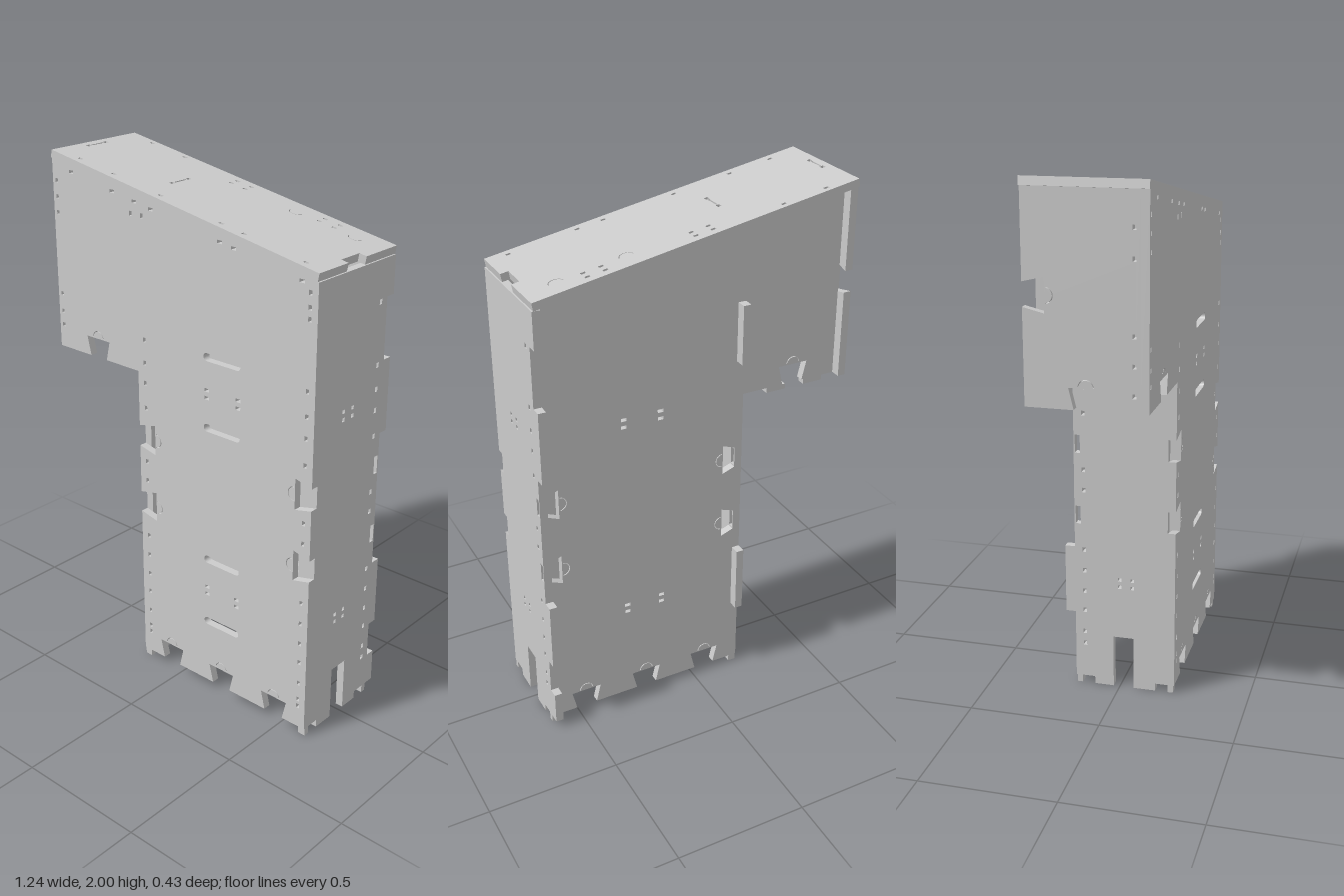
import * as THREE from 'three';

const T = 0.03; // sheet thickness
const mat = new THREE.MeshStandardMaterial({ color: 0xcccccc, flatShading: true, side: THREE.DoubleSide });
const topY = (x) => 2 - (x + 0.62) * 0.178;

const path = (pts) => new THREE.Path(pts.map(([x, y]) => new THREE.Vector2(x, y)));
const rect = (x, y, w, h) =>
  path([[x - w / 2, y - h / 2], [x - w / 2, y + h / 2], [x + w / 2, y + h / 2], [x + w / 2, y - h / 2]]);

// Rounded slot
function pill(x, y, w, h) {
  const p = new THREE.Path(), r = h / 2, s = w / 2 - r;
  p.absarc(x + s, y, r, -Math.PI / 2, Math.PI / 2);
  p.absarc(x - s, y, r, Math.PI / 2, Math.PI * 1.5);
  p.closePath();
  return p;
}

// Thin half-round relief cut beside a dovetail; dir is the angle it bulges towards
function arcCut(x, y, dir) {
  const p = new THREE.Path(), a = dir - 1.5, b = dir + 1.5;
  p.absarc(x, y, 0.028, a, b, false);
  p.absarc(x, y, 0.025, b, a, true);
  p.closePath();
  return p;
}

// Dovetail notch corners, entering the edge at (x, y) in direction (dx, dy)
function dovetail(x, y, dx, dy, depth = 0.075) {
  const at = (d, s) => [x + dx * d - dy * s, y + dy * d + dx * s];
  return [at(0, 0.042), at(depth, 0.06), at(depth, -0.06), at(0, -0.042)];
}

// Flat sheet cut from an outline with holes
function plate(name, outline, holes, depth = T) {
  const shape = new THREE.Shape(outline.map(([x, y]) => new THREE.Vector2(x, y)));
  shape.holes = holes;
  const geo = new THREE.ExtrudeGeometry(shape, { depth, bevelEnabled: false, curveSegments: 8 });
  const mesh = new THREE.Mesh(geo, mat);
  mesh.name = name;
  return mesh;
}

// Upright sheet facing sideways, drawn in (z, y), with its +x face at x
function sidePlate(name, x, outline, holes) {
  const mesh = plate(name, outline, holes);
  mesh.rotation.y = -Math.PI / 2;
  mesh.position.x = x;
  return mesh;
}

const boltRows = [0.22, 0.31, 0.39, 0.475, 0.56, 0.8, 0.88, 1.1, 1.2, 1.28, 1.37];

// L-shaped face between x0 and x1, with dovetails along its lower and side edges
function facePlate(name, x0, x1, front) {
  const low = front ? 1.24 : 1.22, stemX = front ? -0.2 : -0.17;
  const pts = [[x0, topY(x0) - T], [x0, 1.24]];
  if (front) pts.push(...dovetail(-0.41, 1.24, 0, 1));
  else pts.push([-0.54, 1.24], [-0.54, low], [-0.46, low], [-0.46, 1.24],
    ...dovetail(-0.41, 1.24, 0, 1), [-0.38, 1.24], [-0.38, low], [-0.3, low], [-0.3, 1.24]);
  pts.push([stemX, 1.24]);
  const sideDepth = front ? 0.08 : 0.05;
  for (const y of [0.98, 0.7]) pts.push(...dovetail(stemX, y, 1, 0, sideDepth));
  pts.push([stemX, 0.03]);
  for (const x of [-0.05, 0.21, 0.47]) pts.push(...dovetail(x, 0.03, 0, 1));
  pts.push([x1, 0.03]);
  for (const y of [0.7, 0.98]) pts.push(...dovetail(x1, y, -1, 0, x1 - 0.545));
  pts.push([x1, topY(x1) - T]);

  const holes = [];
  for (const x of [-0.05, 0.21, 0.47]) holes.push(arcCut(x, 0.108, Math.PI / 2));
  holes.push(arcCut(-0.41, 1.318, Math.PI / 2));
  for (const y of [0.7, 0.98]) holes.push(arcCut(-0.117, y, 0), arcCut(0.542, y, Math.PI));
  for (const x of [0.14, 0.285]) for (const y of [0.42, 0.45, 1.225, 1.255]) holes.push(rect(x, y, 0.022, 0.013));
  if (front) {
    for (const y of [0.3, 0.57, 1.11, 1.38]) holes.push(pill(0.21, y, 0.17, 0.03));
    for (const x of [-0.165, 0.585]) for (const y of [0.12, 0.15, ...boltRows]) holes.push(rect(x, y, 0.013, 0.018));
    for (const y of [1.62, 1.66, 1.71]) holes.push(rect(0.585, y, 0.013, 0.018));
    for (const y of [1.33, 1.385, 1.455, 1.77, 1.83, 1.89]) holes.push(rect(-0.6, y, 0.013, 0.015));
    for (const x of [-0.22, -0.165]) holes.push(rect(x, 1.83, 0.013, 0.018));
    for (const x of [-0.52, -0.31, -0.2, -0.12, 0.2, 0.26, 0.55]) holes.push(rect(x, topY(x) - 0.05, 0.022, 0.012));
  }
  return plate(name, pts, holes);
}

// Stem side wall: locating tabs on the back edge, feet and a cable slot below
function stemWall(name, x, height, tabs, withBackBolts) {
  const f = 0.185, b = -0.175, tab = -0.213;
  const pts = [[f, height], [f, 0.03], [0.14, 0.03], [0.14, 0], [0.055, 0], [0.055, 0.21],
    [-0.025, 0.21], [-0.025, 0], [-0.1, 0], [-0.1, 0.03], [b, 0.03]];
  for (const [y0, y1] of tabs) pts.push([b, y0], [tab, y0], [tab, y1], [b, y1]);
  pts.push([b, height]);
  const holes = [];
  for (const z of [0, 0.05]) for (const y of [0.42, 0.45, 1.225, 1.255]) holes.push(rect(z, y, 0.014, 0.014));
  if (withBackBolts) for (const y of [0.17, ...boltRows, 1.6]) holes.push(rect(-0.138, y, 0.014, 0.018));
  for (const y of [0.7, 0.98]) holes.push(rect(-0.16, y, 0.02, 0.07));
  return sidePlate(name, x, pts, holes);
}

export function createModel() {
  const model = new THREE.Group();
  model.name = 'cabinetShell';

  // Front and back faces
  const front = facePlate('frontPanel', -0.62, 0.617, true);
  front.position.z = 0.185;
  const back = facePlate('backPanel', -0.59, 0.587, false);
  back.position.z = -0.175;
  model.add(front, back);

  // Stem walls
  model.add(
    stemWall('leftWall', 0.617, topY(0.617) - T, [[0.031, 0.16], [0.3, 0.57], [1.1, 1.38], [1.61, 1.75]], true),
    stemWall('rightStemWall', -0.17, topY(-0.17) - T, [[0.3, 0.57], [1.38, 1.61]], true),
  );

  // Outer wall of the overhanging head
  const h = topY(-0.62) - T;
  const headPts = [[0.185, h], [0.185, 1.24], ...dovetail(0, 1.24, 0, 1).reverse(), [-0.213, 1.24],
    ...dovetail(-0.213, 1.62, 1, 0).reverse(), [-0.213, h]];
  const headHoles = [arcCut(-0.135, 1.62, 0), arcCut(0, 1.318, Math.PI / 2)];
  for (const y of [1.3, 1.4, 1.5, 1.75, 1.85]) headHoles.push(rect(0.165, y, 0.012, 0.016));
  model.add(sidePlate('headOuterWall', -0.59, headPts, headHoles));

  // Sloping roof, drawn along its slope with the back edge at +y
  const angle = Math.atan(0.178), k = 1 / Math.cos(angle), s = (x) => (x + 0.62) * k;
  const len = s(0.617);
  const roofPts = [[0, -0.215], [len, -0.215], [len, -0.06], [len - T, -0.06], [len - T, 0.04], [len, 0.04], [len, 0.215],
    ...dovetail(s(0.5), 0.215, 0, -1, 0.07).reverse(), ...dovetail(s(0.245), 0.215, 0, -1, 0.07).reverse(), [0, 0.215]];
  const roofHoles = [];
  for (const x of [0.245, 0.5]) roofHoles.push(arcCut(s(x), 0.142, -Math.PI / 2));
  for (const x of [-0.06, 0.005, 0.34, 0.405]) for (const y of [0.145, 0.18]) roofHoles.push(rect(s(x), y, 0.018, 0.012));
  for (const x of [-0.5, -0.33]) roofHoles.push(rect(s(x), 0.19, 0.018, 0.012));
  for (const x of [-0.5, -0.33, -0.1, 0.18, 0.28, 0.54]) roofHoles.push(rect(s(x), -0.183, 0.018, 0.012));
  for (const x of [-0.59, -0.165]) for (const y of [-0.055, 0.03]) roofHoles.push(rect(s(x), y, 0.014, 0.018));
  for (const x of [-0.59, -0.165]) roofHoles.push(rect(s(x), -0.012, 0.006, 0.06));
  const sheet = plate('roofPanel', roofPts, roofHoles);
  sheet.rotation.x = -Math.PI / 2;
  const roof = new THREE.Group();
  roof.name = 'roof';
  roof.add(sheet);
  roof.rotation.z = -angle;
  roof.position.set(-0.62 - T * Math.sin(angle), 2 - T * Math.cos(angle), 0);
  model.add(roof);

  // Feet tying the wall bottoms to the front face
  for (const x of [-0.185, 0.602]) for (const z of [0.2, -0.16]) {
    const foot = new THREE.Mesh(new THREE.BoxGeometry(T, 0.03, T * 0.7), mat);
    foot.name = 'foot';
    foot.position.set(x, 0.015, z);
    model.add(foot);
  }
  return model;
}
